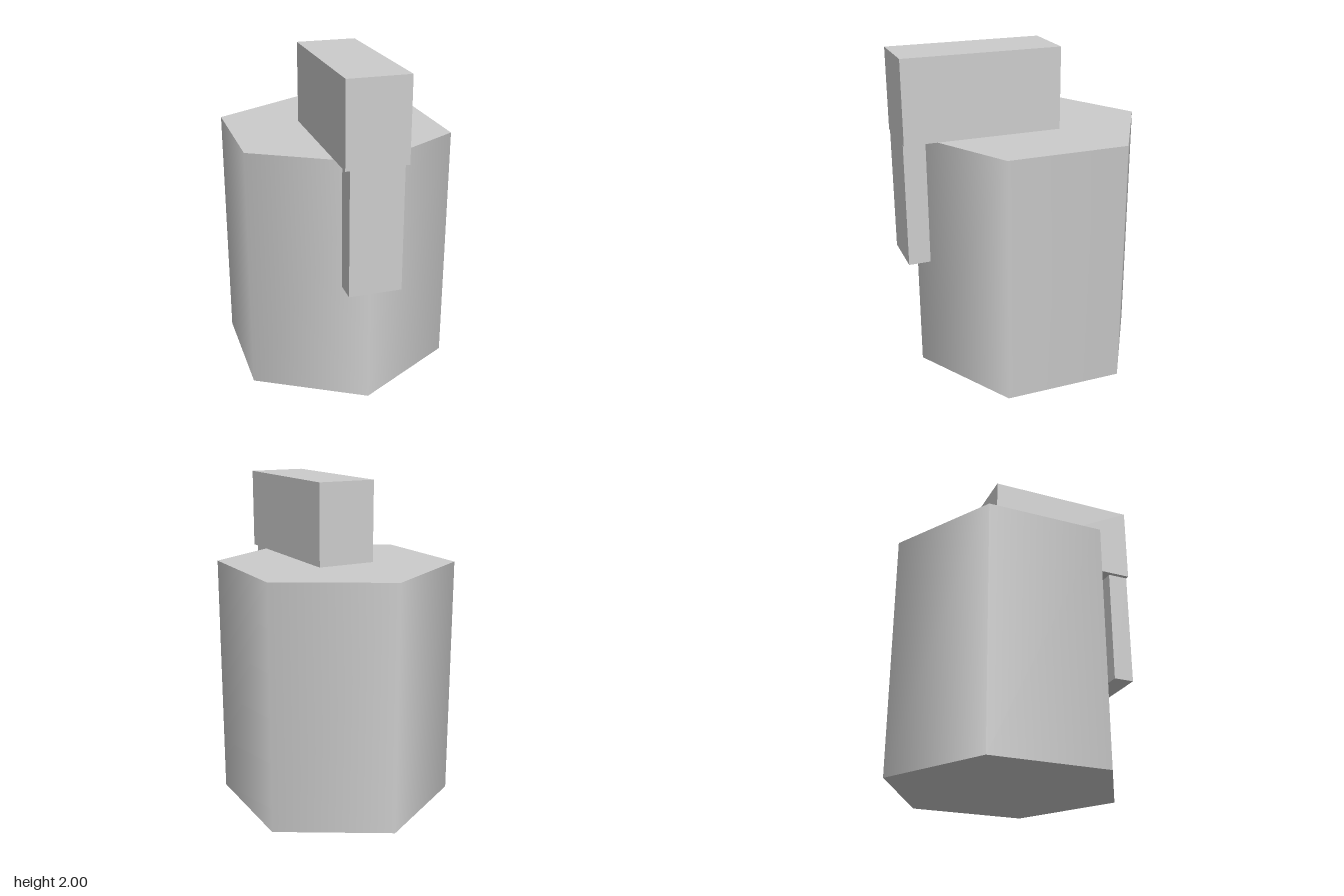
import * as THREE from 'three';

export function createModel() {
  const model = new THREE.Group();
  const grey = new THREE.MeshStandardMaterial({ color: 0xcccccc });
  grey.name = 'light grey';

  const add = (name, geometry, x, y, z) => {
    const mesh = new THREE.Mesh(geometry, grey);
    mesh.name = name;
    mesh.position.set(x, y, z);
    model.add(mesh);
  };

  // Six-sided body with smooth side normals, one corner facing forward
  add('body', new THREE.CylinderGeometry(0.726, 0.726, 1.505, 6), 0, 0.7525, -0.046);

  // Block lying on top, reaching out past the front corner
  add('topBlock', new THREE.BoxGeometry(0.366, 0.495, 0.955), 0, 1.7525, 0.2945);

  // Narrower post hanging from the front end of the block
  add('frontPost', new THREE.BoxGeometry(0.314, 0.75, 0.132), 0, 1.13, 0.706);

  return model;
}
